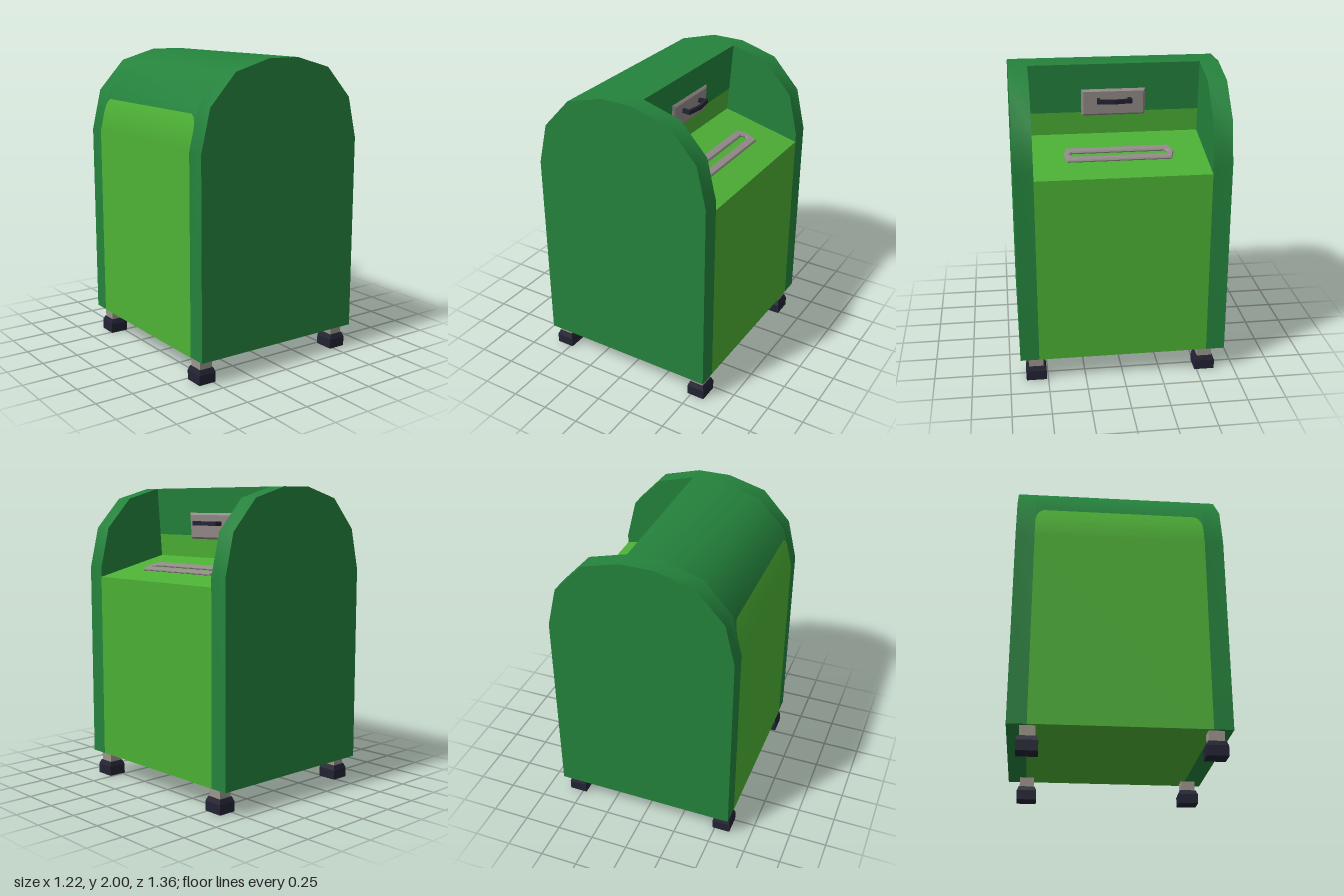
import * as THREE from 'three';

const material = (name, color, side = THREE.FrontSide) => {
  const m = new THREE.MeshStandardMaterial({ color, side });
  m.name = name;
  return m;
};

export function createModel() {
  const model = new THREE.Group();
  const darkGreen = material('dark green', 0x24823c, THREE.DoubleSide);
  const lightGreen = material('light green', 0x4caf34, THREE.DoubleSide);
  const plateGrey = material('plate grey', 0x928a88);
  const legGrey = material('leg grey', 0x9a958b);
  const black = material('blue black', 0x222233);

  const add = (name, geometry, mat, parent = model) => {
    const mesh = new THREE.Mesh(geometry, mat);
    mesh.name = name;
    parent.add(mesh);
    return mesh;
  };

  // Sheet swept along z; each row is [x, y] or [x, y, half width]
  const sheet = (rows, z0, z1) => {
    const pos = [], index = [];
    rows.forEach(([x, y, hw], i) => {
      pos.push(x, y, hw ? -hw : z0, x, y, hw ? hw : z1);
      if (i) {
        const a = 2 * i - 2;
        index.push(a, a + 1, a + 2, a + 1, a + 3, a + 2);
      }
    });
    const g = new THREE.BufferGeometry();
    g.setAttribute('position', new THREE.Float32BufferAttribute(pos, 3));
    g.setIndex(index);
    g.computeVertexNormals();
    return g;
  };
  const shapeOf = pts => new THREE.Shape(pts.map(([x, y]) => new THREE.Vector2(x, y)));

  const W = 0.61, BASE = 0.16, END = 0.68, IN = 0.557;
  const leftArch = [[-W, BASE], [-W, 1.46], [-0.545, 1.73], [-0.36, 1.93], [-0.11, 2]];
  const arch = [...leftArch, ...leftArch.map(([x, y]) => [-x, y]).reverse()];
  const wallTop = [0.11, 2], wallSplit = [0.086, 1.68], wallFoot = [0.075, 1.53], shelfEdge = [W, 1.4];

  // End walls, with the cheeks that flank the recess
  const cheek = [wallFoot, shelfEdge, [W, 1.46], [0.545, 1.73], [0.36, 1.93], wallTop];
  for (const s of [1, -1]) {
    const end = new THREE.Group();
    end.name = s > 0 ? 'frontEnd' : 'backEnd';
    model.add(end);
    const z0 = s > 0 ? IN : -END, z1 = s > 0 ? END : -IN;
    const face = new THREE.ShapeGeometry(shapeOf([...arch].reverse()));
    if (s < 0) face.rotateY(Math.PI);
    add('endFace', face.translate(0, 0, s * END), darkGreen, end);
    add('endRim', sheet(arch, z0, z1), darkGreen, end);
    add('endUnderside', sheet([[W, BASE], [-W, BASE]], z0, z1), darkGreen, end);
    add('cheek', new THREE.ShapeGeometry(shapeOf(cheek)).translate(0, 0, s * IN), darkGreen, end);
  }

  // Middle of the body
  add('roof', sheet([...leftArch, wallTop], -IN, IN), darkGreen);
  add('recessWall', sheet([wallTop, wallSplit], -IN, IN), darkGreen);
  add('recessWallBase', sheet([wallSplit, wallFoot], -IN, IN), lightGreen);
  add('shelf', sheet([wallFoot, shelfEdge], -IN, IN), lightGreen);
  add('leftPanel', sheet([shelfEdge, [W, BASE]], -IN, IN), lightGreen);
  add('underside', sheet([[W, BASE], [-W, BASE]], -IN, IN), lightGreen);

  // Painted panel on the closed side, with rounded upper corners
  const onArch = y => -W - 0.003 + Math.max(0, y - 1.46) * 0.065 / 0.27;
  const rows = [[BASE, 0.557], [1.46, 0.557], [1.59, 0.557], [1.635, 0.548], [1.665, 0.53], [1.68, 0.505]];
  const panel = sheet(rows.map(([y, hw]) => [onArch(y), y, hw]));
  rows.forEach(([y], i) => {
    const a = 0.04 + Math.max(0, y - 1.46) / 0.27 * 0.47;
    for (const k of [0, 1]) panel.attributes.normal.setXYZ(2 * i + k, -Math.cos(a), Math.sin(a), 0);
  });
  add('rightPanel', panel, lightGreen);

  // Slot frame lying on the sloping shelf
  const pointed = (w, l, tip) => [[-w, -l], [0, -l - tip], [w, -l], [w, l], [0, l + tip], [-w, l]];
  const frame = shapeOf(pointed(0.07, 0.328, 0.018));
  frame.holes.push(new THREE.Path(pointed(0.03, 0.3, 0.022).reverse().map(p => new THREE.Vector2(...p))));
  const slot = new THREE.ExtrudeGeometry(frame, {
    depth: 0.006, bevelThickness: 0.008, bevelSize: 0.007, bevelSegments: 1,
  });
  slot.rotateX(-Math.PI / 2).rotateZ(-Math.atan2(0.13, 0.535)).translate(0.346, 1.468, 0);
  add('slotFrame', slot, plateGrey);

  // Bevelled plate on the recess wall
  const plate = new THREE.ExtrudeGeometry(shapeOf([[-0.195, -0.075], [0.195, -0.075], [0.195, 0.075], [-0.195, 0.075]]), {
    depth: 0.003, bevelThickness: 0.012, bevelSize: 0.014, bevelSegments: 1,
  });
  plate.rotateY(Math.PI / 2).rotateZ(-0.074).translate(0.092, 1.745, 0.005);
  add('handlePlate', plate, plateGrey);

  // Bent pull handle
  const outer = [[0.09, -0.108], [0.166, -0.116], [0.184, 0], [0.166, 0.116], [0.09, 0.108]];
  const inner = [[0.09, 0.088], [0.15, 0.095], [0.165, 0], [0.15, -0.095], [0.09, -0.088]];
  const handle = new THREE.ExtrudeGeometry(shapeOf([...outer, ...inner]), { depth: 0.028, bevelEnabled: false });
  handle.rotateX(-Math.PI / 2).translate(0, 1.75, 0.003);
  add('handle', handle, black);

  // Four legs with chamfered square feet
  const r = Math.SQRT1_2;
  const profile = [[0, 0], [r, 0], [r, 0.065], [r * 0.82, 0.095], [0, 0.095]].map(p => new THREE.Vector2(...p));
  const foot = new THREE.LatheGeometry(profile, 4).rotateY(Math.PI / 4).scale(0.122, 1, 0.134).toNonIndexed();
  foot.computeVertexNormals();
  const post = new THREE.BoxGeometry(0.09, 0.075, 0.097).translate(0, 0.1255, 0);
  for (const x of [-0.544, 0.535]) {
    for (const z of [-0.552, 0.577]) {
      const leg = new THREE.Group();
      leg.name = 'leg';
      leg.position.set(x, 0, z);
      add('post', post, legGrey, leg);
      add('foot', foot, black, leg);
      model.add(leg);
    }
  }
  return model;
}
